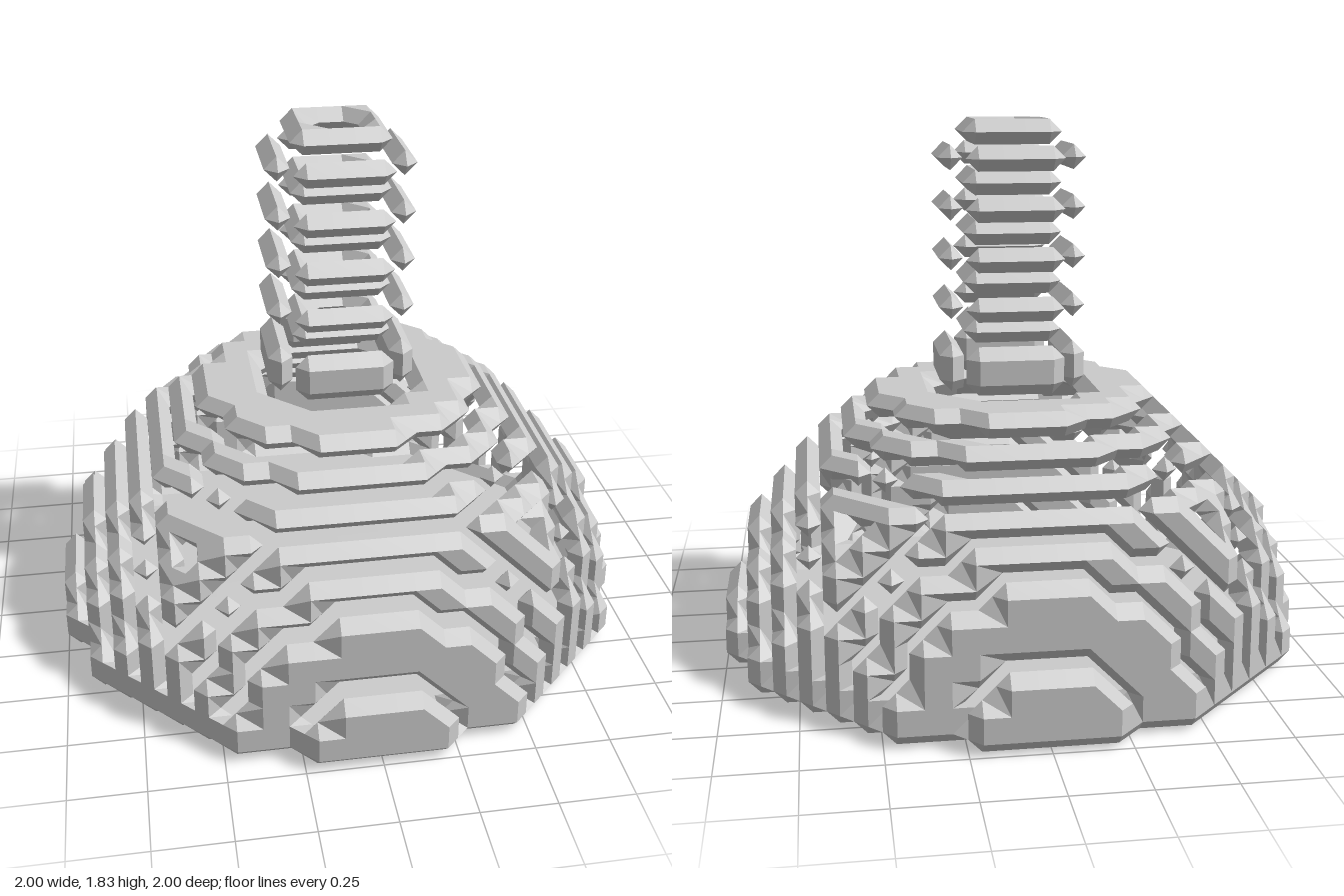
import * as THREE from 'three';

const H = 1 / 12; // lattice spacing; cell centres sit at (index + 0.5) * H

// Solid body: a half ball of radius 12 cells with a ribbed round stem on top
function solid(i, j, k) {
  if (j < 0) return false;
  const x = i + 0.5, y = j + 0.5, z = k + 0.5;
  const r2 = x * x + z * z;
  if (r2 + y * y <= 144) return true;
  if (j < 12) return false;
  return r2 <= (j % 2 === 0 && j < 21 ? 9 : 4.5); // wide and narrow ribs alternate
}

// Only cells touching the outside remain, giving a one-cell shell; the stem is open on top
function filled(i, j, k) {
  if (j > 21 || !solid(i, j, k)) return false;
  return !(solid(i - 1, j, k) && solid(i + 1, j, k) &&
           solid(i, j - 1, k) && solid(i, j + 1, k) &&
           solid(i, j, k - 1) && solid(i, j, k + 1));
}

// The six faces of a lattice cube, corners counter-clockwise from outside
const FACES = [];
for (let a = 0; a < 3; a++) {
  for (const s of [0, 1]) {
    const ring = [[0, 0], [1, 0], [1, 1], [0, 1]].map(([u, v]) => {
      const c = [0, 0, 0];
      c[a] = s; c[(a + 1) % 3] = u; c[(a + 2) % 3] = v;
      return c;
    });
    FACES.push(s ? ring : ring.reverse());
  }
}

// Bevelled skin inside one lattice cube: outline each filled run on every face,
// chain the outlines into loops and fill the loops
function skinCube(i, j, k, out) {
  const on = (c) => filled(i + c[0], j + c[1], k + c[2]);
  const next = new Map(), point = new Map();
  const crossing = (p, q) => {
    const m = p.map((v, n) => (v + q[n]) / 2);
    const key = m.join();
    point.set(key, m);
    return key;
  };
  for (const ring of FACES) {
    const f = ring.map(on);
    for (let n = 0; n < 4; n++) {
      if (f[n] || !f[(n + 1) % 4]) continue;
      let e = (n + 1) % 4;
      while (f[(e + 1) % 4]) e = (e + 1) % 4;
      next.set(crossing(ring[n], ring[(n + 1) % 4]), crossing(ring[e], ring[(e + 1) % 4]));
    }
  }
  while (next.size) {
    const loop = [];
    let key = next.keys().next().value;
    while (next.has(key)) {
      loop.push(point.get(key));
      const following = next.get(key);
      next.delete(key);
      key = following;
    }
    for (let n = 1; n + 1 < loop.length; n++) {
      for (const p of [loop[0], loop[n], loop[n + 1]]) {
        out.push((i + p[0] + 0.5) * H, (j + p[1] + 0.5) * H, (k + p[2] + 0.5) * H);
      }
    }
  }
}

function skin(name, reach, fromLayer, toLayer, material) {
  const positions = [];
  for (let j = fromLayer; j <= toLayer; j++) {
    for (let i = -reach - 1; i < reach; i++) {
      for (let k = -reach - 1; k < reach; k++) skinCube(i, j, k, positions);
    }
  }
  const geometry = new THREE.BufferGeometry();
  geometry.setAttribute('position', new THREE.Float32BufferAttribute(positions, 3));
  geometry.computeVertexNormals();
  const mesh = new THREE.Mesh(geometry, material);
  mesh.name = name;
  return mesh;
}

export function createModel() {
  const group = new THREE.Group();
  group.name = 'steppedDomeWithStem';
  const material = new THREE.MeshStandardMaterial({ color: 0xcccccc, flatShading: true });
  // Hollow stepped dome with its flat floor
  group.add(skin('dome', 12, -1, 10, material));
  // Collar and hollow ribbed stem
  group.add(skin('stem', 4, 11, 21, material));
  return group;
}
